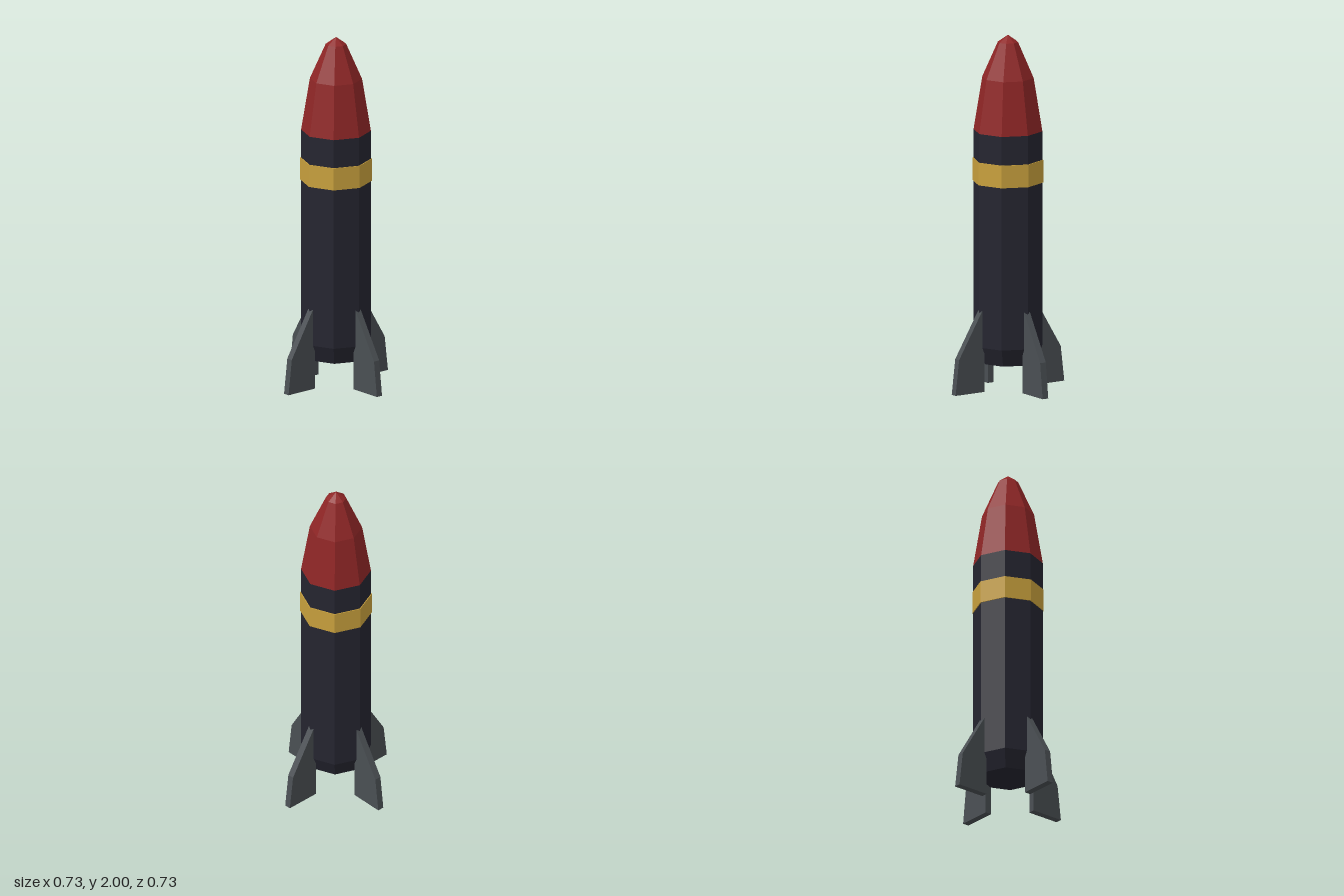
import * as THREE from 'three';

const material = (name, color) => {
  const m = new THREE.MeshStandardMaterial({ color, flatShading: true });
  m.name = name;
  return m;
};

export function createModel() {
  const rocket = new THREE.Group();
  rocket.name = 'rocket';

  const navy = material('dark navy', 0x252530);
  const red = material('deep red', 0x8f2626);
  const gold = material('gold', 0xc8a03d);
  const grey = material('slate grey', 0x4a4f53);

  const add = (name, geometry, mat, parent = rocket) => {
    const mesh = new THREE.Mesh(geometry, mat);
    mesh.name = name;
    parent.add(mesh);
    return mesh;
  };

  // Eight-sided solid from [radius, height] pairs, bottom to top
  const turned = (profile) =>
    new THREE.LatheGeometry(profile.map(([r, y]) => new THREE.Vector2(r, y)), 8);

  // Hull with tapered tail, and the nose cone on top
  add('hull', turned([[0, 0.15], [0.15, 0.15], [0.194, 0.25], [0.194, 1.46]]), navy);
  add('noseCone', turned([[0.194, 1.46], [0.145, 1.76], [0.057, 1.96], [0, 2]]), red);

  // Raised band around the hull
  add('band', turned([[0.19, 1.17], [0.199, 1.17], [0.199, 1.298], [0.19, 1.298]]), gold);

  // Four swept fins, running into the hull
  const thickness = 0.038;
  const outline = new THREE.Shape([
    [0.17, 0], [0.366, 0], [0.342, 0.2], [0.186, 0.46], [0.17, 0.46],
  ].map(([x, y]) => new THREE.Vector2(x, y)));
  const finGeometry = new THREE.ExtrudeGeometry(outline, { depth: thickness, bevelEnabled: false });
  finGeometry.translate(0, 0, -thickness / 2);

  const fins = new THREE.Group();
  fins.name = 'fins';
  rocket.add(fins);
  ['leftFin', 'backFin', 'rightFin', 'frontFin'].forEach((name, i) => {
    add(name, finGeometry, grey, fins).rotation.y = (i * Math.PI) / 2;
  });

  return rocket;
}
